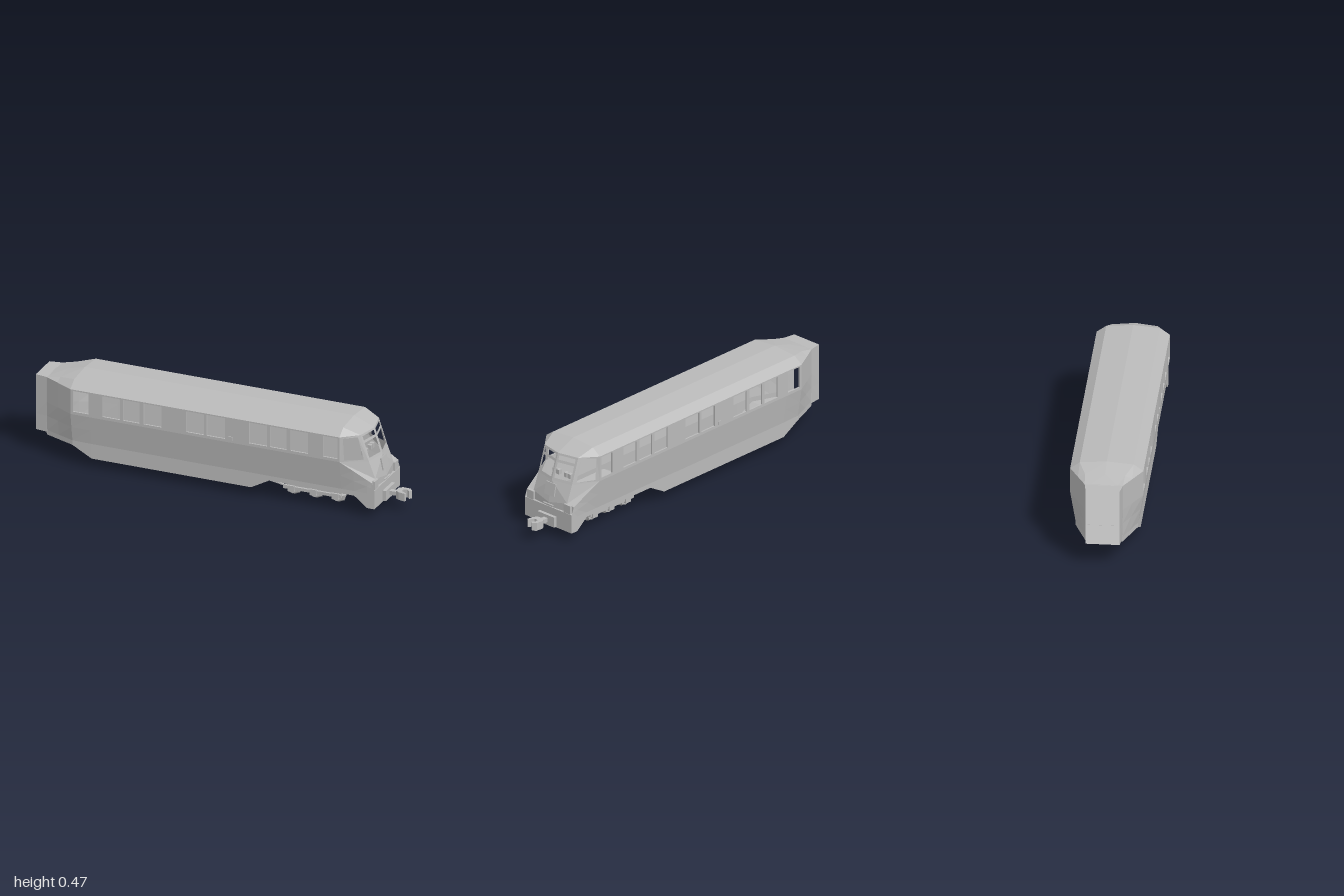
import * as THREE from 'three';

export function createModel() {
  const model = new THREE.Group();
  const grey = new THREE.MeshStandardMaterial({ color: 0xbababa, flatShading: true, side: THREE.DoubleSide });
  grey.name = 'plain grey';

  const add = (name, geo, parent = model) => {
    const mesh = new THREE.Mesh(geo, grey);
    mesh.name = name;
    parent.add(mesh);
    return mesh;
  };
  // Copy a geometry to the other side of z = 0, keeping faces outward
  const mirror = (geo) => {
    const g = geo.index ? geo.toNonIndexed() : geo.clone();
    const p = g.attributes.position;
    const v = [0, 1, 2].map(() => new THREE.Vector3());
    for (let i = 0; i < p.count; i += 3) {
      v.forEach((q, k) => q.fromBufferAttribute(p, i + k));
      [v[0], v[2], v[1]].forEach((q, k) => p.setXYZ(i + k, q.x, q.y, -q.z));
    }
    g.computeVertexNormals();
    return g;
  };
  const pair = (name, geo, parent = model) => {
    add(name + 'Left', geo, parent);
    add(name + 'Right', mirror(geo), parent);
  };
  const box = (x0, x1, y0, y1, z0, z1) =>
    new THREE.BoxGeometry(x1 - x0, y1 - y0, z1 - z0).translate((x0 + x1) / 2, (y0 + y1) / 2, (z0 + z1) / 2);
  // Flat polygons, each fanned from its first corner
  const polygons = (...polys) => {
    const pos = [];
    for (const p of polys)
      for (let i = 1; i < p.length - 1; i++) pos.push(...p[0], ...p[i], ...p[i + 1]);
    const g = new THREE.BufferGeometry();
    g.setAttribute('position', new THREE.Float32BufferAttribute(pos, 3));
    g.computeVertexNormals();
    return g;
  };
  // Skin between cross-sections; skip(i, j) leaves a strip open
  const loft = (rows, skip = () => false) => {
    const polys = [];
    for (let i = 0; i < rows.length - 1; i++)
      for (let j = 0; j < rows[i].length - 1; j++)
        if (!skip(i, j)) polys.push([rows[i][j], rows[i + 1][j], rows[i + 1][j + 1], rows[i][j + 1]]);
    return polygons(...polys);
  };
  const rectangle = (x0, x1, y0, y1, Type = THREE.Path) => {
    const r = new Type();
    r.moveTo(x0, y0).lineTo(x1, y0).lineTo(x1, y1).lineTo(x0, y1).closePath();
    return r;
  };
  // Four-cornered panel with rectangular openings given as fractions
  const panel = (bl, br, tr, tl, holes) => {
    const s = rectangle(0, 1, 0, 1, THREE.Shape);
    s.holes = holes.map((h) => rectangle(...h));
    const g = new THREE.ShapeGeometry(s).toNonIndexed();
    const p = g.attributes.position;
    const mix = THREE.MathUtils.lerp;
    for (let i = 0; i < p.count; i++) {
      const u = p.getX(i), v = p.getY(i);
      p.setXYZ(i, ...[0, 1, 2].map((k) => mix(mix(bl[k], br[k], u), mix(tl[k], tr[k], u), v)));
    }
    g.computeVertexNormals();
    return g;
  };

  // Main hull: x, floor y, skirt width, side width, shoulder width, shoulder y, ridge y
  const hull = [
    [-1, 0.12, 0.085, 0.085, 0.065, 0.42, 0.42],
    [-0.94, 0.12, 0.092, 0.095, 0.07, 0.42, 0.42],
    [-0.935, 0.105, 0.092, 0.096, 0.07, 0.42, 0.421],
    [-0.86, 0.105, 0.122, 0.136, 0.1, 0.437, 0.442],
    [-0.77, 0.105, 0.157, 0.183, 0.135, 0.455, 0.466],
    [-0.665, 0.05, 0.16, 0.183, 0.135, 0.455, 0.466],
    [0.2, 0.05, 0.16, 0.183, 0.135, 0.455, 0.466],
    [0.3, 0.105, 0.16, 0.183, 0.135, 0.455, 0.466],
    [0.69, 0.105, 0.16, 0.183, 0.135, 0.455, 0.466],
  ].map(([x, yb, wl, w, ws, ys, yr]) => [
    [x, yb, 0], [x, yb, wl], [x, 0.13, wl], [x, 0.2075, (wl + w) / 2],
    [x, 0.285, w], [x, 0.42, w], [x, ys, ws], [x, yr, 0],
  ]);
  pair('hull', loft(hull, (i, j) => i >= 4 && j === 4));

  // Window band with real openings
  const band = rectangle(-0.77, 0.69, 0.285, 0.42, THREE.Shape);
  band.holes = [
    [-0.757, -0.672], [-0.597, -0.5], [-0.485, -0.394], [-0.372, -0.276], [-0.142, -0.046],
    [-0.03, 0.07], [0.2, 0.296], [0.312, 0.403], [0.425, 0.52], [0.6, 0.68],
  ].map(([a, b]) => rectangle(a, b, 0.3, 0.413));
  pair('windowBand', new THREE.ExtrudeGeometry(band, { depth: 0.008, bevelEnabled: false }).translate(0, 0, 0.175));

  // Nose skirt: x, floor y, skirt width, top width, top y
  const nose = [
    [0.69, 0.105, 0.16, 0.183, 0.285],
    [0.76, 0.105, 0.16, 0.173, 0.245],
    [0.83, 0.05, 0.16, 0.163, 0.204],
    [0.855, 0.05, 0.16, 0.16, 0.19],
    [0.87, 0.05, 0.16, 0.16, 0.15],
  ].map(([x, yb, wl, w, y]) => [
    [x, yb, 0], [x, yb, wl], [x, 0.13, wl], [x, (0.13 + y) / 2, (wl + w) / 2], [x, y, w],
  ]);
  pair('noseSkirt', loft(nose));

  // Cab corner points
  const sideLow = [0.69, 0.285, 0.183], sideTop = [0.69, 0.42, 0.183];
  const cheekFoot = [0.855, 0.195, 0.115], cheekLow = [0.82, 0.285, 0.115], cheekTop = [0.775, 0.42, 0.115];
  const midFoot = [0.868, 0.172, 0], midLow = [0.845, 0.285, 0], midTop = [0.8, 0.42, 0];
  pair('noseShoulder', polygons([cheekFoot, ...nose.slice(0, 4).map((r) => r[4])]));
  pair('noseFront', polygons(
    [[0.87, 0.05, 0.16], [0.87, 0.05, 0], [0.87, 0.15, 0], [0.87, 0.15, 0.16]],
    [[0.87, 0.15, 0.16], [0.87, 0.15, 0], [0.855, 0.15, 0], [0.855, 0.15, 0.16]],
    [[0.855, 0.15, 0.115], [0.868, 0.15, 0], midFoot, cheekFoot],
    [[0.855, 0.15, 0.16], [0.855, 0.15, 0.115], cheekFoot, [0.855, 0.19, 0.16]],
  ));
  pair('cabPanel', polygons([cheekFoot, midFoot, midLow, cheekLow], [sideLow, cheekFoot, cheekLow]));
  pair('windscreenFrame', panel(cheekLow, midLow, midTop, cheekTop,
    [[0.1, 0.91, 0.1, 0.67], [0.1, 0.91, 0.765, 0.926]]));
  pair('cabSideFrame', panel(sideLow, cheekLow, cheekTop, sideTop, [[0.16, 0.85, 0.07, 0.93]]));
  const shoulder = [0.69, 0.455, 0.135], ridge = [0.69, 0.466, 0];
  pair('cabRoof', polygons([sideTop, cheekTop, shoulder], [cheekTop, midTop, ridge, shoulder]));

  // Nose fittings
  pair('cornerBlock', box(0.845, 0.868, 0.15, 0.195, 0.103, 0.148));
  const hatch = add('frontHatch', box(-0.004, 0.004, -0.033, 0.033, -0.033, 0.033));
  hatch.position.set(0.855, 0.24, 0);
  hatch.rotation.z = 0.2;
  add('noseStep', box(0.866, 0.874, 0.16, 0.164, -0.033, 0.033));
  pair('dashGaugeOuter', box(0.755, 0.775, 0.285, 0.309, 0.042, 0.062));
  pair('dashGaugeInner', box(0.755, 0.775, 0.285, 0.309, 0.016, 0.036));

  // Door skins and handles, placed at opposite ends on the two sides
  const door = loft([-0.165, 0.085].map((x) =>
    [[x, 0.09, 0.1615], [x, 0.13, 0.1615], [x, 0.2075, 0.173], [x, 0.285, 0.1845]]));
  add('doorLeft', door);
  add('doorRight', door.clone().rotateY(Math.PI).translate(-0.04, 0, 0));
  add('handleLeft', box(0.09, 0.11, 0.298, 0.318, 0.18, 0.188));
  add('handleRight', box(-0.185, -0.165, 0.298, 0.318, -0.188, -0.18));

  // Three-axle bogie
  const bogie = new THREE.Group();
  bogie.name = 'bogie';
  model.add(bogie);
  for (const x of [0.385, 0.505, 0.625]) {
    const disc = (r0, r1, z0, z1, n) => new THREE.CylinderGeometry(r1, r0, z1 - z0, n)
      .rotateX(Math.PI / 2).translate(x, 0.045, (z0 + z1) / 2);
    pair('wheelFlange', disc(0.045, 0.036, 0.045, 0.056, 8), bogie);
    pair('wheel', disc(0.036, 0.032, 0.056, 0.07, 8), bogie);
    pair('axleBox', box(x - 0.018, x + 0.018, 0.03, 0.062, 0.076, 0.09), bogie);
    add('axle', disc(0.008, 0.008, -0.08, 0.08, 8), bogie);
  }
  pair('sideFrame', box(0.365, 0.64, 0.06, 0.1, 0.07, 0.08), bogie);
  pair('lowerRail', box(0.34, 0.655, 0.04, 0.056, 0.072, 0.084), bogie);
  add('bolster', box(0.44, 0.57, 0.07, 0.11, -0.07, 0.07), bogie);
  pair('bogieArm', new THREE.BoxGeometry(0.125, 0.007, 0.01).rotateZ(-0.17).translate(0.3, 0.066, 0.08), bogie);

  // Coupler with an open claw
  const coupler = new THREE.Group();
  coupler.name = 'coupler';
  model.add(coupler);
  add('couplerPlate', box(0.868, 0.888, 0.055, 0.11, -0.057, 0.057), coupler);
  add('couplerShank', box(0.885, 0.945, 0.073, 0.094, -0.013, 0.013), coupler);
  const claw = new THREE.Shape([
    [0.925, -0.02], [0.945, -0.033], [0.985, -0.03], [1, -0.012], [0.99, 0.002], [0.975, -0.012],
    [0.955, -0.008], [0.955, 0.015], [0.985, 0.03], [0.98, 0.04], [0.945, 0.033], [0.925, 0.02],
  ].map(([x, z]) => new THREE.Vector2(x, z)));
  add('couplerClaw', new THREE.ExtrudeGeometry(claw, { depth: 0.042, bevelEnabled: false })
    .rotateX(Math.PI / 2).translate(0, 0.105, 0), coupler);

  return model;
}
